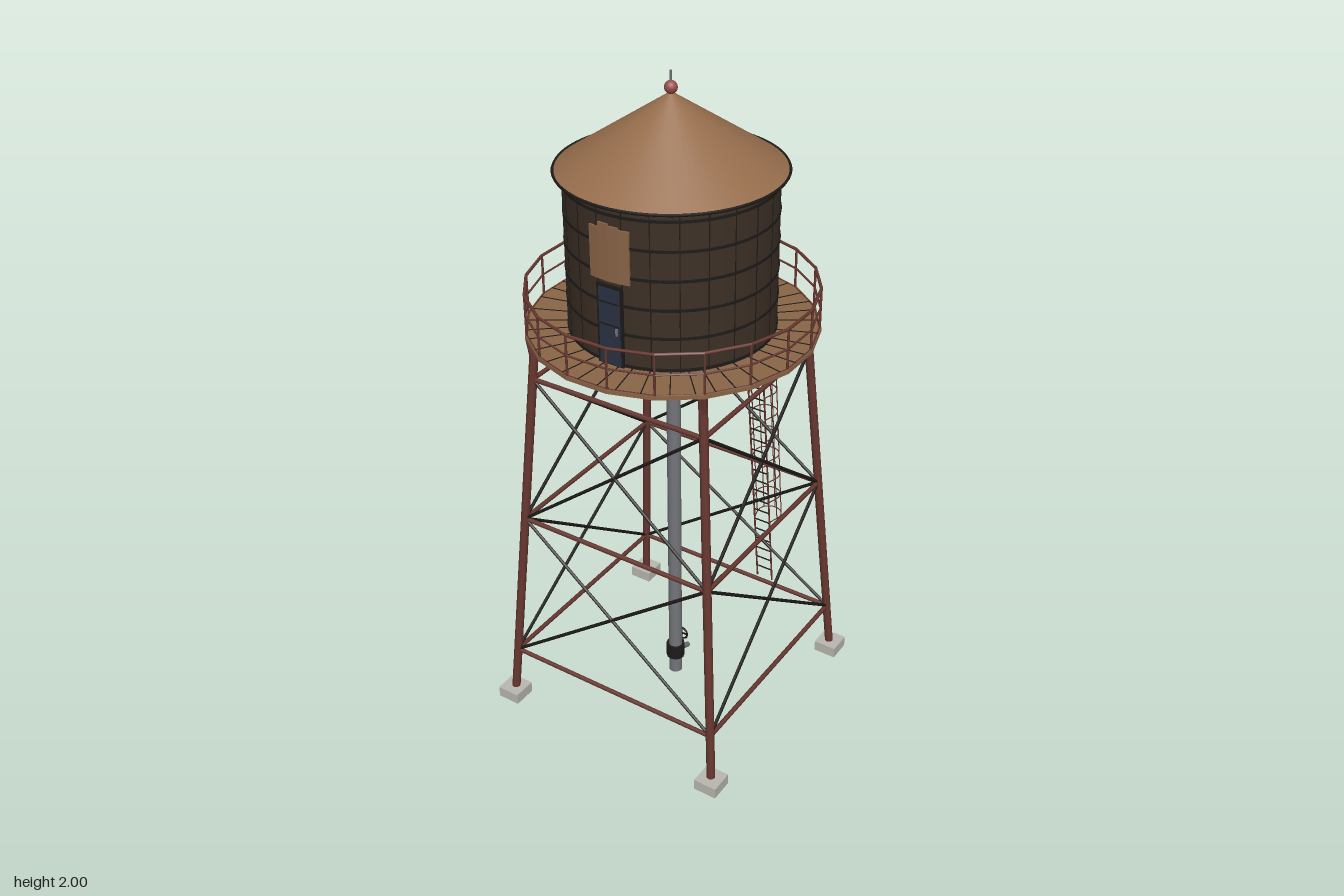
import * as THREE from 'three';

const mat = (name, color, side = THREE.FrontSide) => {
  const m = new THREE.MeshStandardMaterial({ color, side });
  m.name = name;
  return m;
};
const V = (x, y, z) => new THREE.Vector3(x, y, z);

export function createModel() {
  const roofWood = mat('roof wood', 0x966d4c, THREE.DoubleSide);
  const deckWood = mat('deck wood', 0x8a6547);
  const tankWood = mat('dark tank wood', 0x3d3026);
  const rust = mat('rust red steel', 0x683830);
  const iron = mat('black iron', 0x1e1b19);
  const steel = mat('grey steel', 0x74757a);
  const concrete = mat('concrete', 0xb8b8b0);
  const doorBlue = mat('door blue', 0x2a3142);
  const ballRed = mat('finial red', 0x96504a);

  const model = new THREE.Group();
  model.name = 'waterTower';
  const tower = new THREE.Group();
  tower.name = 'tower';
  tower.position.z = 0.105;
  model.add(tower);

  const add = (parent, name, geo, material, x = 0, y = 0, z = 0) => {
    const m = new THREE.Mesh(geo, material);
    m.name = name;
    m.position.set(x, y, z);
    parent.add(m);
    return m;
  };
  // Round bar between two points
  const rod = (parent, name, a, b, r, material, sides = 6) => {
    const d = b.clone().sub(a);
    const m = add(parent, name, new THREE.CylinderGeometry(r, r, d.length(), sides), material);
    m.position.copy(a).addScaledVector(d, 0.5);
    m.quaternion.setFromUnitVectors(V(0, 1, 0), d.normalize());
    return m;
  };
  const polar = (a, r, y) => V(Math.sin(a) * r, y, Math.cos(a) * r);

  // Legs, footings and knee braces
  const legAt = (y) => 0.363 - (y - 0.03) * 0.0725;
  const corners = [[1, 1], [1, -1], [-1, -1], [-1, 1]];
  const legPoint = ([sx, sz], y) => V(sx * legAt(y), y, sz * legAt(y));
  for (const c of corners) {
    add(tower, 'footing', new THREE.BoxGeometry(0.072, 0.035, 0.072), concrete, c[0] * 0.365, 0.0175, c[1] * 0.365);
    rod(tower, 'leg', legPoint(c, 0.03), legPoint(c, 1.268), 0.013, rust, 8);
    rod(tower, 'kneeBrace', legPoint(c, 1.19), V(c[0] * 0.287, 1.268, c[1] * 0.287), 0.007, rust);
  }

  // Horizontal struts and crossed braces on the four sides
  const levels = [0.18, 0.67, 1.14];
  corners.forEach((a, i) => {
    const b = corners[(i + 1) % 4];
    for (const y of levels) rod(tower, 'strut', legPoint(a, y), legPoint(b, y), 0.007, rust);
    rod(tower, 'topBeam', legPoint(a, 1.264), legPoint(b, 1.264), 0.005, iron);
    for (let k = 0; k < 2; k++) {
      rod(tower, 'crossBrace', legPoint(a, levels[k]), legPoint(b, levels[k + 1]), 0.005, iron);
      rod(tower, 'crossBrace', legPoint(b, levels[k]), legPoint(a, levels[k + 1]), 0.005, iron);
    }
  });

  // Ring deck with twenty straight edges
  const N = 20, R = 0.413;
  const corner = (i, y, r = R) => polar(((i + 0.5) / N) * Math.PI * 2, r, y);
  const ring = new THREE.Shape();
  for (let i = 0; i < N; i++) {
    const p = corner(i, 0);
    if (i) ring.lineTo(p.x, p.z); else ring.moveTo(p.x, p.z);
  }
  ring.closePath();
  ring.holes.push(new THREE.Path().absarc(0, 0, 0.27, 0, Math.PI * 2, true));
  const deckGeo = new THREE.ExtrudeGeometry(ring, { depth: 0.012, bevelEnabled: false, curveSegments: 40 });
  deckGeo.rotateX(-Math.PI / 2);
  add(tower, 'deck', deckGeo, deckWood, 0, 1.268, 0);
  for (let i = 0; i < 40; i++) {
    const a = ((i + 0.5 + 0.16 * Math.sin(i * 5)) / 40) * Math.PI * 2;
    const p = polar(a, 0.348, 1.2805);
    add(tower, 'plankGap', new THREE.BoxGeometry(0.003, 0.002, 0.115), iron, p.x, p.y, p.z).rotation.y = a;
  }

  // Railing
  for (let i = 0; i < N; i++) {
    rod(tower, 'railPost', corner(i, 1.275, 0.408), corner(i, 1.4, 0.408), 0.0035, rust);
    for (const [y, r] of [[1.4, 0.0045], [1.34, 0.003], [1.277, 0.0045]])
      rod(tower, 'rail', corner(i, y, 0.408), corner(i + 1, y, 0.408), r, rust);
  }

  // Tank with stave joints and hoops
  add(tower, 'tank', new THREE.CylinderGeometry(0.29, 0.29, 0.462, 48, 1), tankWood, 0, 1.507, 0);
  const floor = add(tower, 'tankFloor', new THREE.CircleGeometry(0.285, 40), iron, 0, 1.2745, 0);
  floor.rotation.x = Math.PI / 2;
  for (let i = 0; i < 24; i++) {
    const a = ((i + 0.5) / 24) * Math.PI * 2;
    const p = polar(a, 0.2895, 1.507);
    add(tower, 'staveJoint', new THREE.BoxGeometry(0.003, 0.455, 0.003), iron, p.x, p.y, p.z).rotation.y = a;
  }
  for (const y of [1.287, 1.38, 1.462, 1.545, 1.628, 1.71]) {
    const hoop = add(tower, 'tankHoop', new THREE.CylinderGeometry(0.2925, 0.2925, 0.008, 48, 1), iron, 0, y, 0);
    hoop.scale.set(1, 1, 1);
  }

  // Pale boards above the door
  [1.67, 1.685, 1.68, 1.675].forEach((top, i) => {
    const a = (i - 1.5) * 0.105;
    const h = top - 1.525;
    const p = polar(a, 0.291, 1.525 + h / 2);
    add(tower, 'paleBoard', new THREE.BoxGeometry(0.031, h, 0.007), deckWood, p.x, p.y, p.z).rotation.y = a;
  });

  // Door with frame, hinges and handle
  add(tower, 'doorFrame', new THREE.BoxGeometry(0.08, 0.235, 0.008), iron, 0, 1.3975, 0.2905);
  add(tower, 'door', new THREE.BoxGeometry(0.066, 0.222, 0.009), doorBlue, 0, 1.394, 0.292);
  for (const y of [1.33, 1.4, 1.465])
    add(tower, 'doorStrap', new THREE.BoxGeometry(0.06, 0.004, 0.002), iron, 0, y, 0.297);
  add(tower, 'doorHandle', new THREE.BoxGeometry(0.005, 0.02, 0.006), steel, 0.024, 1.385, 0.299);

  // Roof and finial
  add(tower, 'roof', new THREE.ConeGeometry(0.313, 0.208, 64, 1, true), roofWood, 0, 1.841, 0);
  const soffit = add(tower, 'soffit', new THREE.CircleGeometry(0.312, 64), tankWood, 0, 1.737, 0);
  soffit.rotation.x = Math.PI / 2;
  const rim = add(tower, 'roofRim', new THREE.TorusGeometry(0.313, 0.004, 6, 64), iron, 0, 1.738, 0);
  rim.rotation.x = Math.PI / 2;
  add(tower, 'finialBall', new THREE.SphereGeometry(0.018, 16, 12), ballRed, 0, 1.955, 0);
  rod(tower, 'finialSpike', V(0, 1.965, 0), V(0, 2, 0), 0.003, steel);

  // Standpipe, valve, hand wheel and spout
  rod(tower, 'standpipe', V(0, 0.01, 0), V(0, 1.274, 0), 0.021, steel, 16);
  rod(tower, 'valveBody', V(0, 0.068, 0), V(0, 0.115, 0), 0.029, iron, 12);
  rod(tower, 'valveStem', V(0, 0.105, -0.01), V(0, 0.13, -0.036), 0.004, iron);
  add(tower, 'handWheel', new THREE.TorusGeometry(0.021, 0.003, 6, 16), iron, 0, 0.13, -0.036);
  for (const a of [0, Math.PI / 2])
    add(tower, 'wheelSpoke', new THREE.BoxGeometry(0.04, 0.004, 0.004), iron, 0, 0.13, -0.036).rotation.z = a;
  rod(tower, 'spout', V(0, 0.08, -0.015), V(0, 0.056, -0.072), 0.008, steel, 8);

  // Leaning ladder with safety cage
  const ladder = new THREE.Group();
  ladder.name = 'ladder';
  model.add(ladder);
  const ladderZ = (y) => -0.46 + (y - 0.01) * 0.1137;
  for (const x of [-0.029, 0.029]) {
    rod(ladder, 'ladderRail', V(x, 0.005, ladderZ(0.005)), V(x, 1.405, ladderZ(1.405)), 0.003, rust);
    rod(ladder, 'ladderTie', V(x, 1.28, ladderZ(1.28)), V(x, 1.278, -0.295), 0.003, steel);
  }
  for (let i = 0; i < 31; i++) {
    const y = 0.05 + i * 0.043;
    rod(ladder, 'rung', V(-0.029, y, ladderZ(y)), V(0.029, y, ladderZ(y)), 0.0025, iron, 5);
  }
  const cagePoint = (a, y) => V(Math.cos(a) * 0.041, y, ladderZ(y) - 0.048 - Math.sin(a) * 0.041);
  const start = -0.35, sweep = Math.PI + 0.7;
  for (let i = 0; i < 14; i++) {
    const y = 0.27 + i * 0.087;
    const pts = [V(0.029, y, ladderZ(y))];
    for (let k = 0; k <= 10; k++) pts.push(cagePoint(start + (sweep * k) / 10, y));
    pts.push(V(-0.029, y, ladderZ(y)));
    add(ladder, 'cageHoop', new THREE.TubeGeometry(new THREE.CatmullRomCurve3(pts), 24, 0.002, 5), rust);
  }
  for (let k = 0; k < 5; k++) {
    const a = start + (sweep * k) / 4;
    rod(ladder, 'cageBar', cagePoint(a, 0.27), cagePoint(a, 1.401), 0.0018, rust, 5);
  }

  return model;
}
